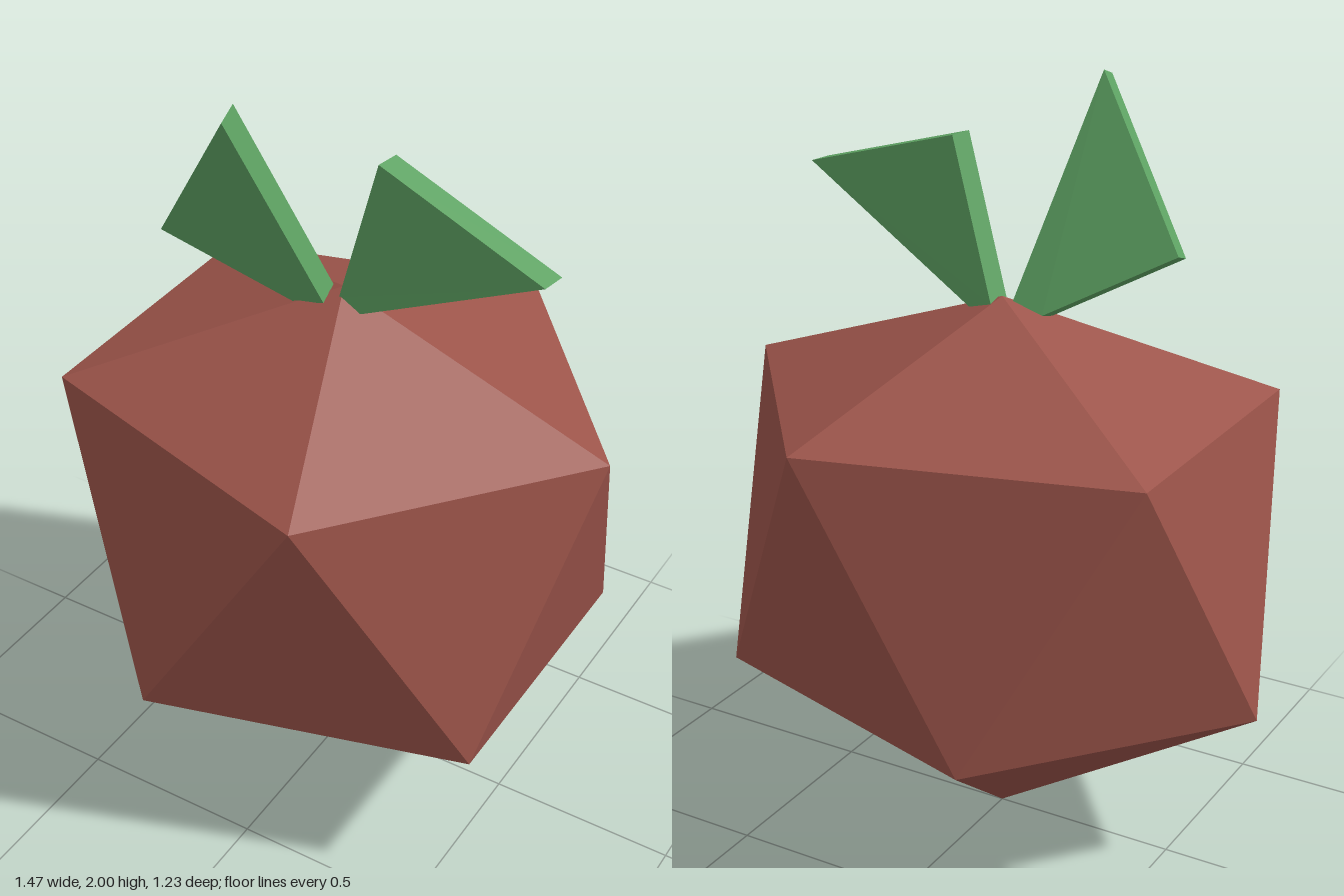
import * as THREE from 'three';

const red = new THREE.MeshStandardMaterial({ color: 0x9c544a, flatShading: true });
red.name = 'fruit red';
const green = new THREE.MeshStandardMaterial({ color: 0x5fa464, flatShading: true });
green.name = 'leaf green';

// Flat-faced mesh from a list of triangle corners
function facetMesh(name, points, material) {
  const geometry = new THREE.BufferGeometry().setFromPoints(points);
  geometry.computeVertexNormals();
  const mesh = new THREE.Mesh(geometry, material);
  mesh.name = name;
  return mesh;
}

// Twenty-sided fruit, narrower front to back, with a slightly flattened crown
function createFruit() {
  const radiusX = 0.737, radiusZ = 0.649;
  const top = new THREE.Vector3(0, 1.457, 0);
  const bottom = new THREE.Vector3(0, 0.002, 0);
  const ring = (i, y, turn) => {
    const a = ((i + turn) * Math.PI * 2) / 5;
    return new THREE.Vector3(radiusX * Math.cos(a), y, radiusZ * Math.sin(a));
  };
  const points = [];
  for (let i = 0; i < 5; i++) {
    const u0 = ring(i, 1.197, 0), u1 = ring(i + 1, 1.197, 0);
    const l0 = ring(i, 0.46, 0.5), l1 = ring(i + 1, 0.46, 0.5);
    points.push(top, u1, u0, l0, u0, u1, u1, l1, l0, bottom, l0, l1);
  }
  return facetMesh('fruit', points, red);
}

// Four-cornered leaf slab: back corners counterclockwise from the front, plus thickness
function createLeaf(name, corners, thickness) {
  const back = corners.map((c) => new THREE.Vector3(...c));
  const offset = new THREE.Vector3(...thickness);
  const front = back.map((c) => c.clone().add(offset));
  const points = [front[0], front[1], front[2], front[0], front[2], front[3],
    back[0], back[2], back[1], back[0], back[3], back[2]];
  for (let i = 0; i < 4; i++) {
    const j = (i + 1) % 4;
    points.push(back[i], back[j], front[j], back[i], front[j], front[i]);
  }
  return facetMesh(name, points, green);
}

export function createModel() {
  const model = new THREE.Group();
  model.name = 'fruit with leaves';
  model.add(
    createFruit(),
    createLeaf('leftLeaf',
      [[0.013, 1.44, -0.034], [0.08, 1.42, -0.023], [0.605, 1.71, 0.06], [0.133, 1.85, -0.013]],
      [-0.01, 0, 0.063]),
    createLeaf('rightLeaf',
      [[-0.115, 1.425, -0.003], [-0.032, 1.45, -0.003], [-0.163, 2.0, 0.212], [-0.427, 1.593, 0.109]],
      [0.008, -0.02, 0.06]),
  );
  return model;
}
